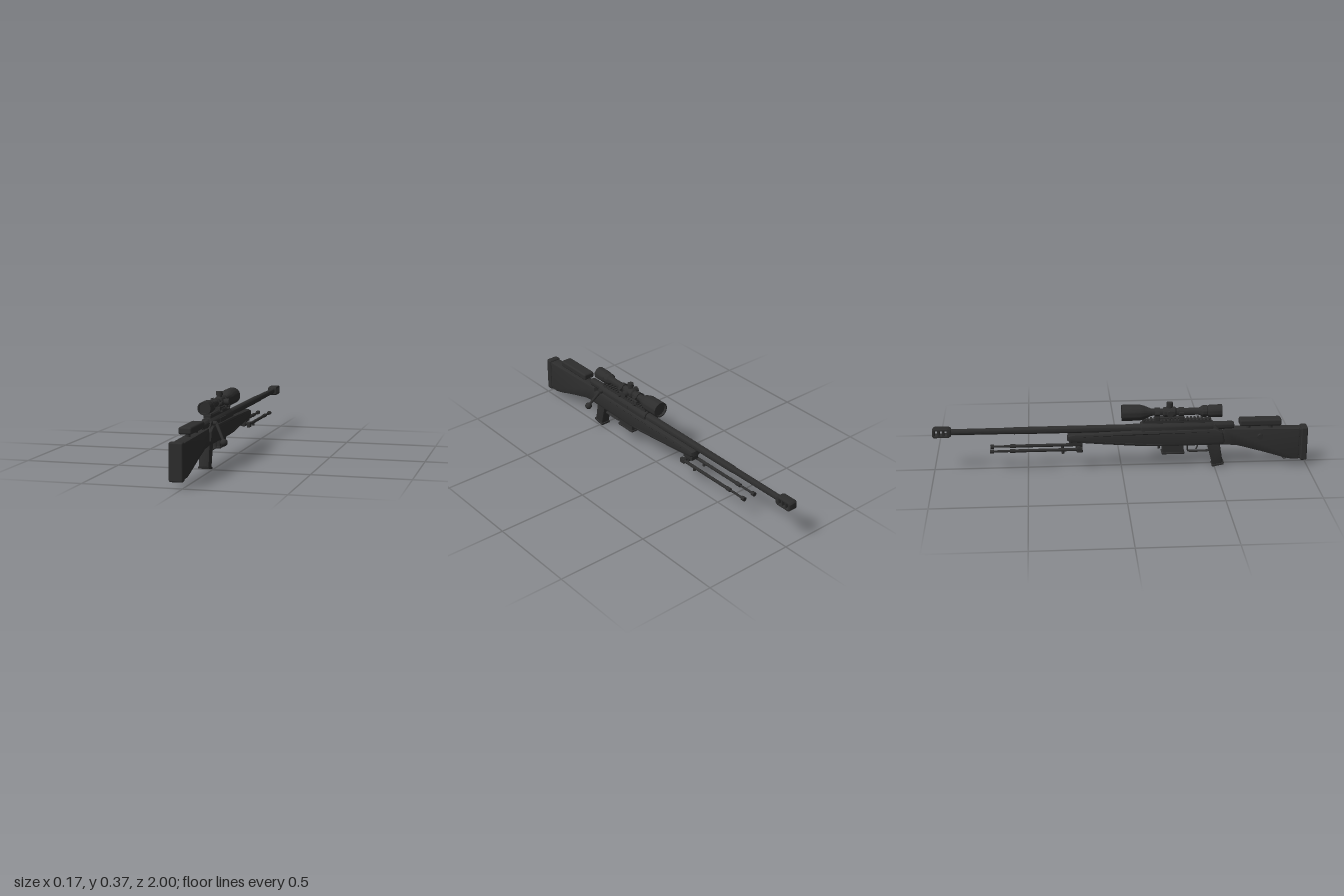
import * as THREE from 'three';
import { toCreasedNormals } from 'three/addons/utils/BufferGeometryUtils.js';
import { RoundedBoxGeometry } from 'three/addons/geometries/RoundedBoxGeometry.js';

const V = (x, y, z) => new THREE.Vector3(x, y, z);

export function createModel() {
  const model = new THREE.Group();
  model.name = 'boltActionRifle';
  model.position.x = -0.033; // the bolt knob sticks out to +x
  const gunmetal = new THREE.MeshStandardMaterial({ color: 0x2d2d2d });
  gunmetal.name = 'dark gunmetal';

  const add = (name, geo, x = 0, y = 0, z = 0) => {
    const mesh = new THREE.Mesh(geo, gunmetal);
    mesh.name = name;
    mesh.position.set(x, y, z);
    model.add(mesh);
    return mesh;
  };
  const box = (name, w, h, d, x, y, z, r = 0.004) =>
    add(name, new RoundedBoxGeometry(w, h, d, 2, r), x, y, z);

  // Side outline of [z, y] points, extruded across x with a bevel
  const side = (name, pts, width, bevel = 0.006, holes = []) => {
    const shape = new THREE.Shape(pts.map(p => new THREE.Vector2(...p)));
    for (const h of holes) shape.holes.push(new THREE.Path(h.map(p => new THREE.Vector2(...p))));
    const depth = width - 2 * bevel;
    const geo = new THREE.ExtrudeGeometry(shape, {
      depth, bevelEnabled: bevel > 0, bevelThickness: bevel, bevelSize: bevel, bevelOffset: -bevel, bevelSegments: 2,
    });
    geo.translate(0, 0, -depth / 2).rotateY(-Math.PI / 2);
    return add(name, toCreasedNormals(geo, 0.6));
  };

  // Turned part along z, from [radius, z] points with z rising
  const turned = (name, pts, y, x = 0, seg = 28) => {
    const geo = new THREE.LatheGeometry(pts.map(p => new THREE.Vector2(...p)), seg).rotateX(Math.PI / 2);
    return add(name, toCreasedNormals(geo, 0.6), x, y, 0);
  };

  // Straight rod between two points
  const rod = (name, a, b, r, r2 = r, seg = 16) => {
    const mesh = add(name, new THREE.CylinderGeometry(r2, r, a.distanceTo(b), seg));
    mesh.position.copy(a).add(b).multiplyScalar(0.5);
    mesh.quaternion.setFromUnitVectors(V(0, 1, 0), b.clone().sub(a).normalize());
    return mesh;
  };

  // Butt stock
  side('buttStock', [[0.955, 0.035], [0.955, 0.21], [0.55, 0.217], [0.53, 0.13], [0.62, 0.122],
    [0.75, 0.085], [0.87, 0.047], [0.91, 0.037]], 0.064);
  box('buttSpacer', 0.058, 0.17, 0.02, 0, 0.123, 0.958);
  box('buttPad', 0.07, 0.188, 0.036, 0, 0.122, 0.982, 0.008);
  box('cheekRest', 0.066, 0.036, 0.225, 0, 0.248, 0.743, 0.01);
  for (const z of [0.68, 0.8]) rod('cheekRestPost', V(0, 0.2, z), V(0, 0.24, z), 0.012);
  rod('stockButton', V(-0.03, 0.175, 0.74), V(-0.05, 0.175, 0.74), 0.014);
  add('slingLoop', new THREE.TorusGeometry(0.013, 0.003, 8, 20).rotateY(Math.PI / 2), 0, 0.042, 0.885);

  // Receiver body and fore-end, narrowed towards the tip
  const body = side('receiverAndForeEnd', [[0.552, 0.15], [0.54, 0.2], [0.5, 0.222], [0.1, 0.219], [-0.26, 0.204],
    [-0.288, 0.195], [-0.29, 0.17], [-0.272, 0.16], [-0.1, 0.146], [0.12, 0.131], [0.22, 0.128], [0.54, 0.13]], 0.088, 0.014);
  const pos = body.geometry.attributes.position;
  for (let i = 0; i < pos.count; i++) {
    const t = THREE.MathUtils.clamp((0.12 - pos.getZ(i)) / 0.41, 0, 1);
    pos.setX(i, pos.getX(i) * (1 - 0.3 * t));
  }
  body.geometry = toCreasedNormals(body.geometry, 0.6);
  side('rearBridge', [[0.545, 0.18], [0.5, 0.243], [0.47, 0.243], [0.47, 0.18]], 0.06);
  turned('action', [[0, 0.1], [0.03, 0.1], [0.034, 0.106], [0.034, 0.48], [0.03, 0.49], [0, 0.49]], 0.226);
  turned('boltTail', [[0, 0.47], [0.022, 0.47], [0.022, 0.59], [0.017, 0.602], [0, 0.602]], 0.23);
  box('ejectionPort', 0.006, 0.026, 0.12, 0.032, 0.229, 0.3, 0.002);

  // Bolt handle
  rod('boltHandleRoot', V(0.012, 0.232, 0.47), V(0.05, 0.232, 0.475), 0.011);
  rod('boltHandle', V(0.046, 0.234, 0.474), V(0.094, 0.15, 0.512), 0.009, 0.007);
  add('boltKnob', new THREE.SphereGeometry(0.019, 24, 16), 0.097, 0.143, 0.515);

  // Barrel and slotted muzzle brake
  turned('barrel', [[0, -0.92], [0.016, -0.92], [0.017, -0.58], [0.019, -0.57], [0.02, 0.02], [0.024, 0.12], [0, 0.12]], 0.226);
  const slots = [-0.93, -0.955, -0.98].map(z =>
    [[z - 0.007, 0.213], [z + 0.007, 0.213], [z + 0.007, 0.24], [z - 0.007, 0.24]]);
  side('muzzleBrake', [[-1, 0.21], [-0.992, 0.202], [-0.915, 0.202], [-0.902, 0.21], [-0.902, 0.243],
    [-0.915, 0.251], [-0.992, 0.251], [-1, 0.243]], 0.05, 0.004, slots);

  // Pistol grip
  side('pistolGrip', [[0.525, 0.14], [0.455, 0.14], [0.463, 0.115], [0.49, 0.008], [0.545, 0.02]], 0.055, 0.009);
  side('gripCap', [[0.551, 0.024], [0.549, 0.012], [0.487, 0], [0.483, 0.012]], 0.058, 0.003);

  // Trigger and guard
  const guard = new THREE.CatmullRomCurve3([V(0, 0.135, 0.352), V(0, 0.095, 0.354), V(0, 0.086, 0.362),
    V(0, 0.085, 0.41), V(0, 0.086, 0.46), V(0, 0.092, 0.475)], false, 'catmullrom', 0.3);
  add('triggerGuard', new THREE.TubeGeometry(guard, 30, 0.004, 8).scale(3, 1, 1));
  const trigger = new THREE.CatmullRomCurve3([V(0, 0.135, 0.412), V(0, 0.112, 0.408), V(0, 0.096, 0.4)]);
  add('trigger', new THREE.TubeGeometry(trigger, 12, 0.004, 8));

  // Magazine
  box('magazine', 0.05, 0.06, 0.114, 0, 0.111, 0.275);
  box('magazineBase', 0.056, 0.012, 0.124, 0, 0.085, 0.275);
  box('magazineCatch', 0.02, 0.03, 0.012, 0, 0.122, 0.199, 0.003);

  // Scope body and hollow-looking bells
  const scopeY = 0.3125;
  turned('scopeTube', [[0, 0.012], [0.036, 0.012], [0.037, 0], [0.043, 0], [0.043, 0.095], [0.036, 0.12], [0.019, 0.16],
    [0.019, 0.41], [0.026, 0.425], [0.031, 0.432], [0.031, 0.455], [0.028, 0.458], [0.034, 0.47], [0.034, 0.535],
    [0.028, 0.535], [0.027, 0.525], [0, 0.525]], scopeY, 0, 36);
  turned('turretHousing', [[0.019, 0.22], [0.027, 0.226], [0.027, 0.285], [0.019, 0.291]], scopeY);
  const hub = V(0, scopeY, 0.256);
  for (const [name, x, y, r] of [['elevationTurret', 0, 1, 0.018], ['windageTurret', 1, 0, 0.018], ['focusTurret', -1, 0, 0.018]]) {
    const dir = V(x, y, 0), reach = x < 0 ? 0.044 : 0.053;
    rod(name + 'Neck', hub, hub.clone().addScaledVector(dir, 0.038), 0.014);
    rod(name, hub.clone().addScaledVector(dir, 0.034), hub.clone().addScaledVector(dir, reach), r, r - 0.001, 24);
  }

  // Toothed rail and scope rings
  box('railBase', 0.036, 0.016, 0.37, 0, 0.262, 0.295, 0.002);
  for (let i = 0; i < 19; i++) box('railTooth', 0.04, 0.01, 0.01, 0, 0.274, 0.12 + i * 0.0194, 0.001);
  for (const z of [0.19, 0.318]) {
    turned('scopeRing', [[0.019, z - 0.013], [0.025, z - 0.013], [0.025, z + 0.013], [0.019, z + 0.013]], scopeY);
    box('ringFoot', 0.05, 0.024, 0.026, 0, 0.282, z, 0.003);
    rod('ringClampNut', V(0.02, 0.27, z), V(0.036, 0.27, z), 0.006, 0.006, 6);
    for (const s of [-1, 1]) box('ringLug', 0.012, 0.012, 0.024, s * 0.028, scopeY, z, 0.002);
  }
  box('mountBridge', 0.03, 0.01, 0.15, 0, 0.281, 0.254, 0.003);

  // Folded bipod
  box('bipodMount', 0.044, 0.026, 0.07, 0, 0.15, -0.245);
  rod('bipodPivot', V(-0.042, 0.128, -0.228), V(0.042, 0.128, -0.228), 0.011);
  box('bipodBlock', 0.03, 0.034, 0.034, 0, 0.13, -0.23);
  for (const s of [-1, 1]) {
    const x = s * 0.034;
    box('bipodHinge', 0.018, 0.028, 0.032, x, 0.122, -0.225);
    rod('bipodLeg', V(x, 0.124, -0.22), V(x, 0.124, -0.59), 0.0085);
    rod('bipodCollar', V(x, 0.124, -0.565), V(x, 0.124, -0.595), 0.0105);
    rod('bipodLegInner', V(x, 0.124, -0.58), V(x, 0.124, -0.69), 0.006);
    rod('bipodFoot', V(x, 0.124, -0.68), V(x, 0.124, -0.7), 0.0115);
    rod('bipodLatch', V(x, 0.124, -0.315), V(x, 0.104, -0.315), 0.008);
  }
  return model;
}
